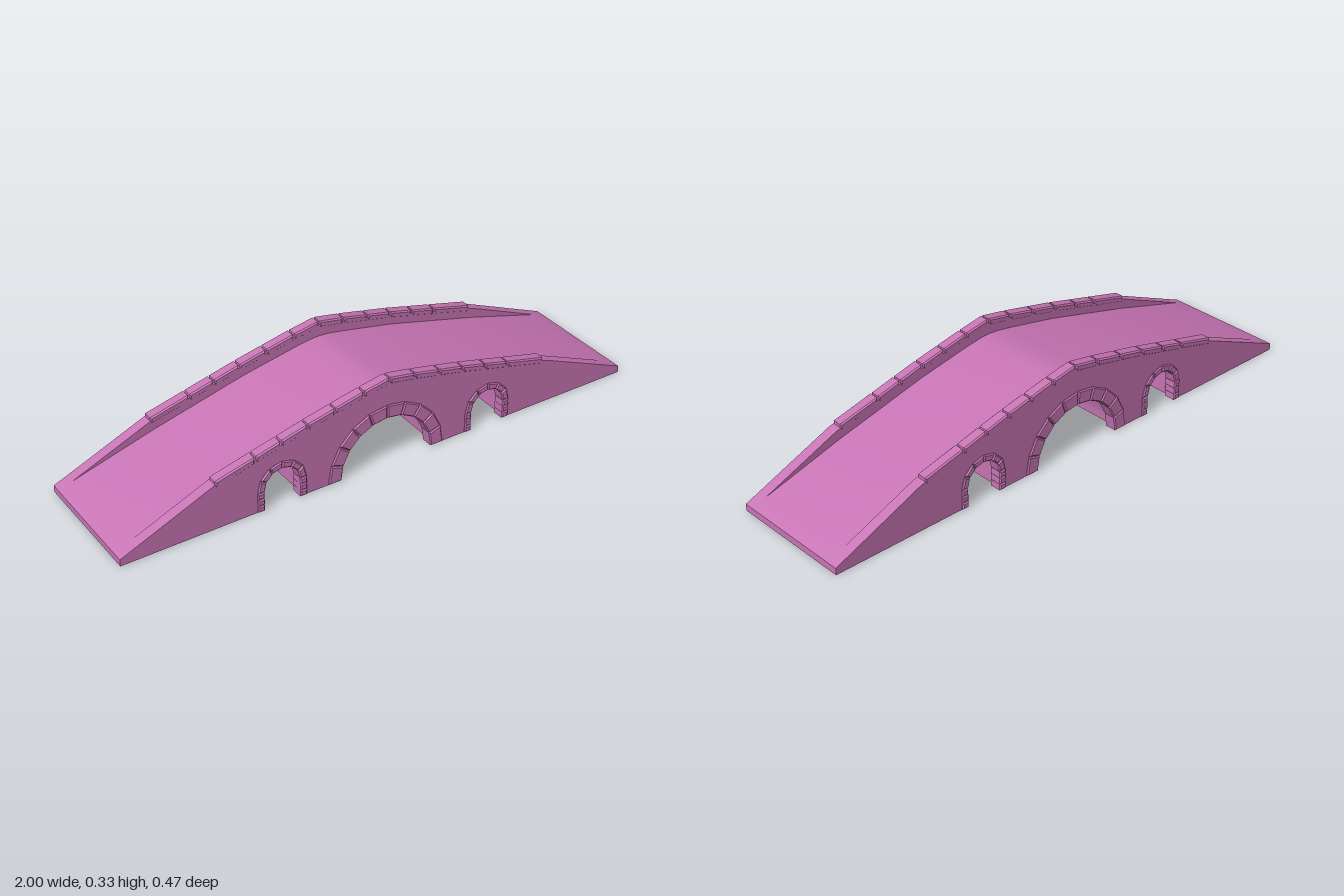
import * as THREE from 'three';
import { toCreasedNormals } from 'three/addons/utils/BufferGeometryUtils.js';

const material = new THREE.MeshStandardMaterial({ color: 0xc875b5 });
const INNER = 0.192, OUTER = 0.231; // parapet faces, distance from the centre line

// Half profiles (x, y) from the crown to the foot
const deckLine = [[0, 0.275], [0.04, 0.272], [0.1, 0.262], [0.3, 0.222], [0.65, 0.133], [0.95, 0.046], [1, 0.025]];
const wallLine = [[0, 0.319], [0.1, 0.301], [0.3, 0.258], [0.66, 0.168], [0.95, 0.046], [1, 0.025]];

// Openings: centre x, springing height, inner and outer stone radius, barrel radius, stones
const arches = [
  { name: 'leftArch', x: 0.405, spring: 0.073, inner: 0.067, outer: 0.092, barrel: 0.079, stones: 6, legs: 3 },
  { name: 'mainArch', x: -0.01, spring: 0, inner: 0.18, outer: 0.229, barrel: 0.2, stones: 10, legs: 0 },
  { name: 'rightArch', x: -0.415, spring: 0.073, inner: 0.067, outer: 0.092, barrel: 0.079, stones: 6, legs: 3 },
];

function heightAt(line, x) {
  const a = Math.abs(x);
  const i = Math.max(1, line.findIndex((p) => p[0] >= a));
  const [p, q] = [line[i - 1], line[i]];
  return p[1] + ((q[1] - p[1]) * (a - p[0])) / (q[0] - p[0]);
}

// Side outline under a top line, with the arches cut out of the bottom edge
function outline(line) {
  const s = new THREE.Shape();
  s.moveTo(-1, 0);
  for (const a of [...arches].reverse()) {
    s.lineTo(a.x - a.barrel, 0);
    s.lineTo(a.x - a.barrel, a.spring);
    s.absarc(a.x, a.spring, a.barrel, Math.PI, 0, true);
    s.lineTo(a.x + a.barrel, 0);
  }
  s.lineTo(1, 0);
  for (const [x, y] of [...line].reverse()) s.lineTo(x, y);
  for (const [x, y] of line.slice(1)) s.lineTo(-x, y);
  return s;
}

function slab(name, shape, z0, z1) {
  const g = new THREE.ExtrudeGeometry(shape, { depth: z1 - z0, bevelEnabled: false, curveSegments: 24 });
  g.translate(0, 0, z0);
  const m = new THREE.Mesh(toCreasedNormals(g, 0.25), material);
  m.name = name;
  return m;
}

// Chamfered block with a four-cornered face
function stone(name, corners, z0, z1, bevel) {
  const shape = new THREE.Shape(corners.map(([x, y]) => new THREE.Vector2(x, y)));
  const g = new THREE.ExtrudeGeometry(shape, {
    depth: z1 - z0 - 2 * bevel, bevelSize: bevel, bevelThickness: bevel, bevelOffset: -bevel, bevelSegments: 1,
  });
  g.translate(0, 0, z0 + bevel);
  const m = new THREE.Mesh(g, material);
  m.name = name;
  return m;
}

// Ring of wedge stones plus straight jambs around one opening
function archStones(a, z0, z1) {
  const ring = new THREE.Group();
  ring.name = a.name + 'Stones';
  const at = (r, t) => [a.x + r * Math.cos(t), a.spring + r * Math.sin(t)];
  for (let i = 0; i < a.stones; i++) {
    const gap = 0.0012 / a.outer;
    const t0 = (Math.PI * i) / a.stones + gap, t1 = (Math.PI * (i + 1)) / a.stones - gap;
    ring.add(stone('archStone', [at(a.inner, t0), at(a.outer, t0), at(a.outer, t1), at(a.inner, t1)], z0, z1, 0.004));
  }
  for (const side of [-1, 1]) {
    for (let i = 0; i < a.legs; i++) {
      const h = a.spring / a.legs, y0 = i * h, y1 = y0 + h - 0.001;
      const x0 = a.x + (side > 0 ? a.inner : -a.outer), x1 = x0 + a.outer - a.inner;
      ring.add(stone('jambStone', [[x0, y0], [x1, y0], [x1, y1], [x0, y1]], z0, z1, 0.004));
    }
  }
  return ring;
}

// Row of coping stones following the parapet
function coping(z0, z1) {
  const row = new THREE.Group();
  row.name = 'coping';
  const joints = [-0.66, -0.51, -0.415, -0.315, -0.21, -0.1, 0, 0.1, 0.2, 0.295, 0.39, 0.485, 0.645];
  for (let i = 0; i + 1 < joints.length; i++) {
    const x0 = joints[i] + 0.003, x1 = joints[i + 1] - 0.003;
    const y0 = heightAt(wallLine, x0), y1 = heightAt(wallLine, x1);
    row.add(stone('copingStone', [[x0, y0 - 0.012], [x1, y1 - 0.012], [x1, y1 + 0.012], [x0, y0 + 0.012]], z0, z1, 0.005));
  }
  return row;
}

export function createModel() {
  const bridge = new THREE.Group();
  bridge.name = 'bridge';
  bridge.add(slab('deck', outline(deckLine), -INNER, INNER));
  for (const front of [true, false]) {
    const span = (a, b) => (front ? [a, b] : [-b, -a]);
    const side = new THREE.Group();
    side.name = front ? 'frontSide' : 'backSide';
    side.add(slab('parapet', outline(wallLine), ...span(INNER, OUTER)));
    side.add(coping(...span(INNER - 0.001, OUTER + 0.002)));
    for (const a of arches) side.add(archStones(a, ...span(0.188, 0.237)));
    bridge.add(side);
  }
  return bridge;
}
